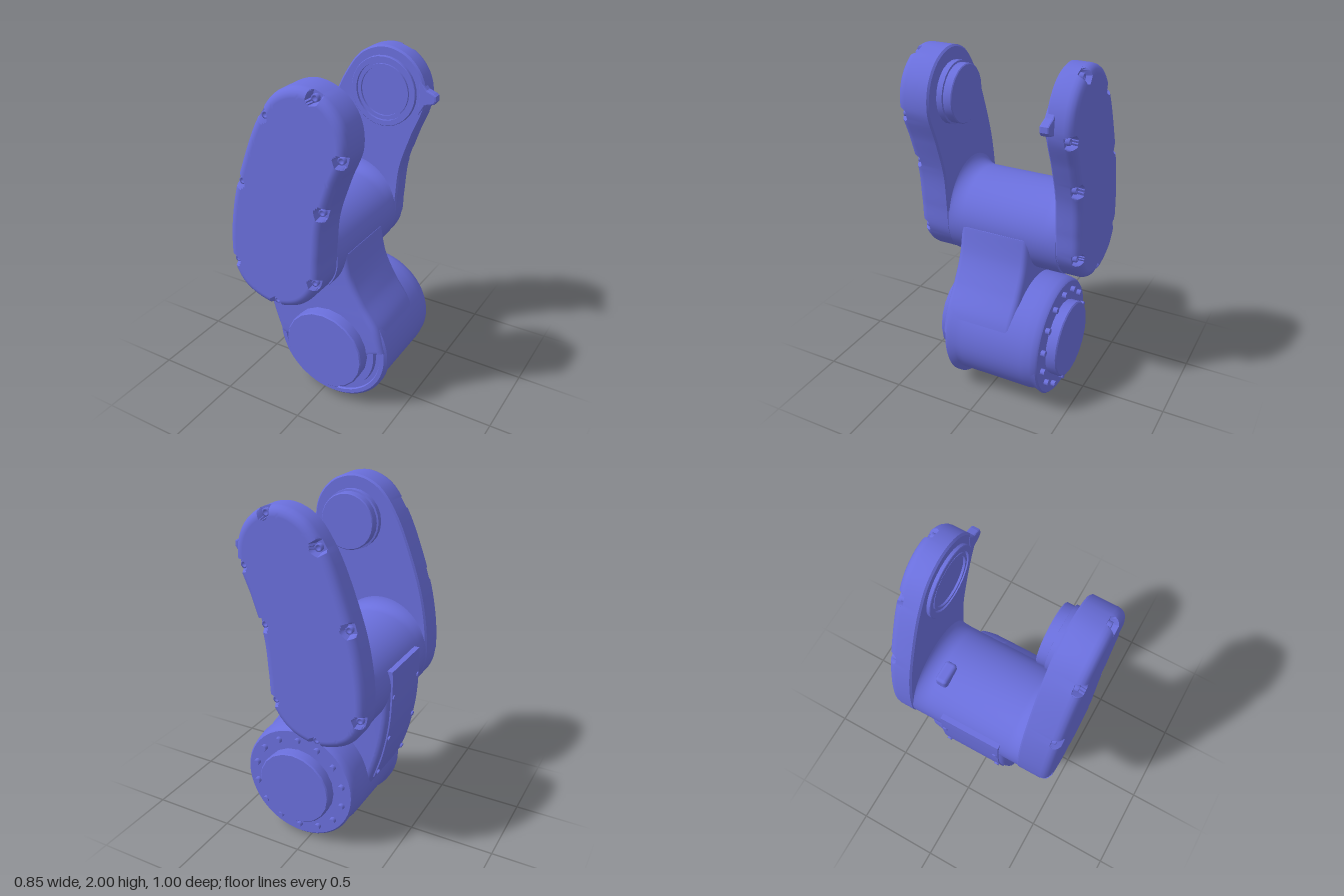
import * as THREE from 'three';
import { toCreasedNormals } from 'three/addons/utils/BufferGeometryUtils.js';
import { RoundedBoxGeometry } from 'three/addons/geometries/RoundedBoxGeometry.js';

const material = new THREE.MeshStandardMaterial({ color: 0x6a6fdc });
const V2 = (p) => new THREE.Vector2(p[0], p[1]);

function add(parent, name, geometry, x = 0, y = 0, z = 0) {
  const mesh = new THREE.Mesh(geometry, material);
  mesh.name = name;
  mesh.position.set(x, y, z);
  parent.add(mesh);
  return mesh;
}

// Closed skin through counter-clockwise rings stacked along +z, capped at both ends
function loft(rings) {
  const n = rings[0].length, index = [];
  for (let j = 0; j < rings.length - 1; j++) {
    for (let i = 0; i < n; i++) {
      const a = j * n + i, b = j * n + (i + 1) % n;
      index.push(a, b, b + n, a, b + n, a + n);
    }
  }
  const last = (rings.length - 1) * n;
  const cap = (ring) => THREE.ShapeUtils.triangulateShape(ring.map((p) => new THREE.Vector2(p.x, p.y)), []);
  cap(rings[0]).forEach(([a, b, c]) => index.push(a, c, b));
  cap(rings[rings.length - 1]).forEach(([a, b, c]) => index.push(last + a, last + b, last + c));
  const g = new THREE.BufferGeometry().setFromPoints(rings.flat());
  g.setIndex(index);
  return toCreasedNormals(g, 0.6);
}

// Turned part along z; the profile lists [radius, z] with z rising on outer walls
function turned(profile, sides = 40) {
  const g = new THREE.LatheGeometry(profile.map(V2), sides);
  g.rotateX(Math.PI / 2);
  return g;
}

// Kidney-shaped outline shared by both arms
const armCurve = new THREE.CatmullRomCurve3([
  [-0.12, 0.73], [0.04, 0.785], [0.145, 0.92], [0.165, 1.1], [0.185, 1.3], [0.25, 1.51],
  [0.318, 1.7], [0.295, 1.85], [0.2, 1.96], [0.06, 2], [-0.08, 1.95], [-0.19, 1.81],
  [-0.3, 1.56], [-0.375, 1.32], [-0.411, 1.07], [-0.402, 0.92], [-0.34, 0.81], [-0.24, 0.75],
].map(([x, y]) => new THREE.Vector3(x, y, 0)), true);
const screwSpots = [[0.14, 1.95], [-0.14, 1.82], [0.28, 1.68], [-0.31, 1.43], [0.17, 1.37],
  [-0.38, 0.95], [0.12, 0.95], [-0.12, 0.77]].map(([x, y]) => new THREE.Vector3(x, y, 0));

// Arm shell with rounded outer edge, notched where the cover screws sit
function makeArm(name, side, innerZ) {
  const group = new THREE.Group();
  group.name = name;
  const count = 240;
  const edge = armCurve.getSpacedPoints(count).slice(0, count);
  const step = armCurve.getLength() / count;
  const inward = edge.map((p, i) => {
    const t = edge[(i + 1) % count].clone().sub(edge[(i + count - 1) % count]).normalize();
    return new THREE.Vector3(-t.y, t.x, 0);
  });
  const nearest = screwSpots.map((s) => edge.reduce((best, p, i) =>
    p.distanceTo(s) < edge[best].distanceTo(s) ? i : best, 0));
  const notched = (i, inset) => nearest.some((k) => {
    const d = Math.abs(i - k);
    const along = Math.min(d, count - d) * step;
    return inset < 0.03 ? along < 0.03 : Math.hypot(along, inset - 0.03) < 0.031;
  });
  const layers = [[0.01, innerZ], [0, innerZ + 0.01], [0, 0.45], [0.003, 0.468], [0.012, 0.484],
    [0.025, 0.494], [0.04, 0.5], [0.05, 0.5], [0.059, 0.5], [0.066, 0.5]];
  const rings = layers.map(([inset, z]) => edge.map((p, i) => {
    const v = p.clone().addScaledVector(inward[i], inset);
    v.z = side * (notched(i, inset) ? Math.min(z, 0.45) : z);
    return v;
  }));
  add(group, 'armShell', loft(side > 0 ? rings : rings.reverse()));
  nearest.forEach((k) => {
    const p = edge[k].clone().addScaledVector(inward[k], 0.03);
    const head = turned([[0.02, -0.012], [0.02, 0.012], [0.011, 0.012], [0.011, 0.004], [0, 0.004]], 12);
    if (side < 0) head.rotateX(Math.PI);
    add(group, 'coverScrew', head, p.x, p.y, side * 0.46);
  });
  return group;
}

// Cylindrical bridge between the arms, swelling upward into a fillet at each end
function makeBridge() {
  const r = 0.09, frontZ = 0.22, backZ = -0.27, sections = [];
  for (let i = 8; i >= 0; i--) sections.push([backZ - r * Math.sin(i / 8 * 1.5), r * (1 - Math.cos(i / 8 * 1.5))]);
  for (let i = 0; i <= 8; i++) sections.push([frontZ + r * Math.sin(i / 8 * 1.5), r * (1 - Math.cos(i / 8 * 1.5))]);
  return loft(sections.map(([z, rise]) => Array.from({ length: 64 }, (_, i) => {
    const a = i / 64 * Math.PI * 2, s = Math.sin(a);
    return new THREE.Vector3(-0.123 + 0.286 * Math.cos(a), 1 + s * (s > 0 ? 0.25 + rise : 0.268), z);
  })));
}

// Waist web joining bridge and lower joint
function makeWaist() {
  const shape = new THREE.Shape();
  shape.moveTo(-0.29, 0.33);
  shape.lineTo(0.06, 0.25);
  shape.lineTo(0.41, 0.42);
  shape.splineThru([[0.365, 0.56], [0.27, 0.7], [0.2, 0.84], [0.165, 1]].map(V2));
  shape.lineTo(-0.12, 1.1);
  shape.lineTo(-0.41, 1);
  shape.splineThru([[-0.402, 0.78], [-0.365, 0.57], [-0.29, 0.33]].map(V2));
  const g = new THREE.ExtrudeGeometry(shape, {
    depth: 0.36, bevelEnabled: true, bevelThickness: 0.035, bevelSize: 0.035,
    bevelOffset: -0.035, bevelSegments: 4, curveSegments: 10,
  });
  g.translate(0, 0, -0.165);
  return toCreasedNormals(g, 0.6);
}

// Thin access panel following the curved left-hand edge of the waist
function makePanel() {
  const line = new THREE.SplineCurve([[-0.408, 1.1], [-0.411, 0.98], [-0.402, 0.78],
    [-0.365, 0.57], [-0.315, 0.41]].map(V2)).getPoints(20);
  const shape = new THREE.Shape([
    ...line.map((p) => new THREE.Vector2(p.x - 0.008, p.y)),
    ...line.reverse().map((p) => new THREE.Vector2(p.x + 0.03, p.y)),
  ]);
  const g = new THREE.ExtrudeGeometry(shape, { depth: 0.36, bevelEnabled: false });
  g.translate(0, 0, -0.17);
  return toCreasedNormals(g, 0.5);
}

// Lower joint barrel, with its underside drawn in between the two rims
function makeBarrel() {
  const g = turned([[0, -0.37], [0.335, -0.37], [0.345, -0.36], [0.352, -0.33], [0.36, -0.28],
    [0.36, 0], [0.36, 0.1], [0.36, 0.14], [0.365, 0.17], [0.365, 0.195], [0.35, 0.21],
    [0.325, 0.21], [0.32, 0.2], [0.295, 0.2], [0.29, 0.225], [0, 0.225]], 56);
  const p = g.attributes.position;
  for (let i = 0; i < p.count; i++) {
    const y = p.getY(i), z = p.getZ(i);
    if (y < 0 && z > -0.34 && z < 0.15) p.setY(i, y * 0.88);
  }
  g.deleteAttribute('normal');
  return toCreasedNormals(g, 0.6);
}

export function createModel() {
  const model = new THREE.Group();
  model.name = 'robotJointLink';

  model.add(makeArm('frontArm', 1, 0.305), makeArm('backArm', -1, 0.355));
  add(model, 'bridge', makeBridge());
  add(model, 'waist', makeWaist());
  add(model, 'bridgeLug', new RoundedBoxGeometry(0.13, 0.08, 0.07, 3, 0.02), -0.22, 1.245, -0.235);

  // Access panel and its screws
  add(model, 'sidePanel', makePanel());
  for (const z of [-0.15, 0.17]) {
    for (const [x, y, tilt] of [[-0.415, 0.94, 0], [-0.395, 0.68, 0.18], [-0.335, 0.44, 0.33]]) {
      const screw = add(model, 'panelScrew', new THREE.CylinderGeometry(0.015, 0.015, 0.02, 10), x, y, z);
      screw.rotation.z = Math.PI / 2 + tilt;
    }
  }

  // Lower joint
  const joint = new THREE.Group();
  joint.name = 'lowerJoint';
  joint.position.set(0.057, 0.365, 0);
  model.add(joint);
  add(joint, 'barrel', makeBarrel());
  add(joint, 'frontHub', toCreasedNormals(turned([[0.25, 0.2], [0.25, 0.293], [0.243, 0.3], [0, 0.3]], 20), 0.5));
  add(joint, 'backHub', toCreasedNormals(turned([[0, -0.435], [0.218, -0.435], [0.225, -0.428], [0.225, -0.36]], 20), 0.5));
  for (let i = 0; i < 14; i++) {
    const a = (i + 0.5) / 14 * Math.PI * 2;
    const bolt = add(joint, 'flangeBolt', new THREE.CylinderGeometry(0.018, 0.018, 0.03, 10),
      0.285 * Math.cos(a), 0.285 * Math.sin(a), -0.38);
    bolt.rotation.x = Math.PI / 2;
  }

  // Upper joint: stepped boss on the front arm, grooved seat and pointer on the back arm
  add(model, 'upperBoss', toCreasedNormals(turned([[0, 0.22], [0.157, 0.22], [0.162, 0.225], [0.162, 0.27],
    [0.172, 0.272], [0.172, 0.32]], 24), 0.5), 0.068, 1.75);
  add(model, 'bearingSeat', toCreasedNormals(turned([[0.2, -0.36], [0.2, -0.338], [0.197, -0.335], [0.168, -0.335],
    [0.168, -0.35], [0.155, -0.35], [0.155, -0.338], [0.14, -0.338], [0.14, -0.35], [0, -0.35]], 32), 0.5), 0.066, 1.745);
  const pointer = new THREE.Shape([[0.28, 1.64], [0.318, 1.7], [0.37, 1.715], [0.384, 1.735], [0.382, 1.765],
    [0.365, 1.775], [0.325, 1.79], [0.28, 1.84]].map(V2));
  add(model, 'pointer', new THREE.ExtrudeGeometry(pointer, {
    depth: 0.035, bevelThickness: 0.008, bevelSize: 0.008, bevelOffset: -0.008, bevelSegments: 2,
  }), 0, 0, -0.393);

  return model;
}
